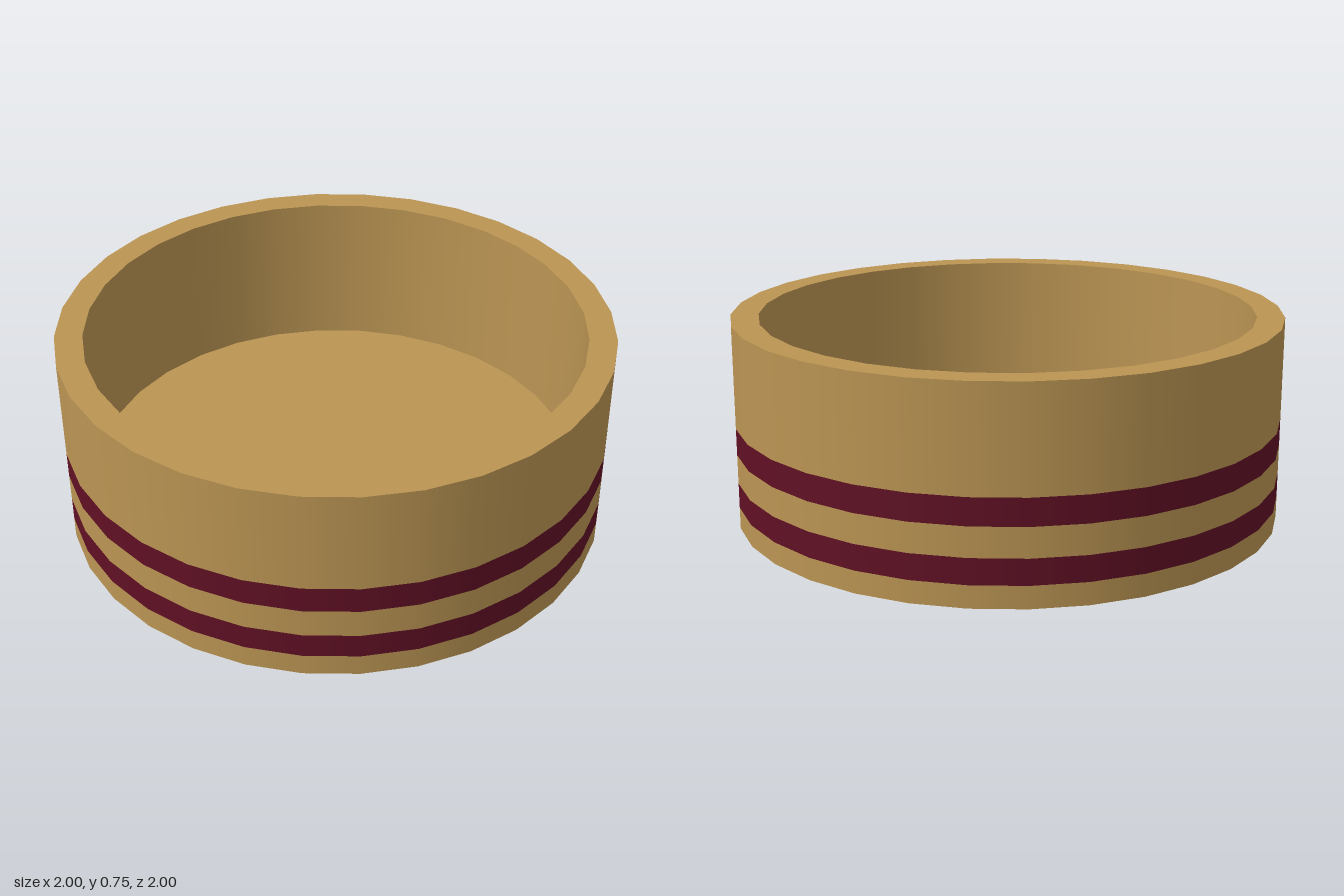
import * as THREE from 'three';

const SIDES = 32;
const R = 1, INNER = 0.9, H = 0.75, FLOOR = 0.155;

export function createModel() {
  const tan = new THREE.MeshStandardMaterial({ color: 0xbb9553 });
  tan.name = 'tan';
  const burgundy = new THREE.MeshStandardMaterial({ color: 0x601024 });
  burgundy.name = 'burgundy';

  const group = new THREE.Group();
  group.name = 'roundBowl';

  // One revolved surface between two profile points [radius, height];
  // separate surfaces keep the rim edges sharp and the walls smooth.
  const ring = (name, from, to, material) => {
    const profile = [new THREE.Vector2(...from), new THREE.Vector2(...to)];
    const mesh = new THREE.Mesh(new THREE.LatheGeometry(profile, SIDES), material);
    mesh.name = name;
    group.add(mesh);
  };

  // Outer wall: plain and striped bands, flush with each other
  const levels = [0, 0.08, 0.172, 0.278, 0.375, H];
  for (let i = 0; i < levels.length - 1; i++) {
    const striped = i % 2 === 1;
    ring(striped ? 'stripe' : 'outerWall', [R, levels[i]], [R, levels[i + 1]], striped ? burgundy : tan);
  }

  // Rim, inner wall, and the discs of the floor and underside
  ring('rim', [R, H], [INNER, H], tan);
  ring('innerWall', [INNER, H], [INNER, FLOOR], tan);
  ring('floor', [INNER, FLOOR], [0, FLOOR], tan);
  ring('underside', [0, 0], [R, 0], tan);

  return group;
}
